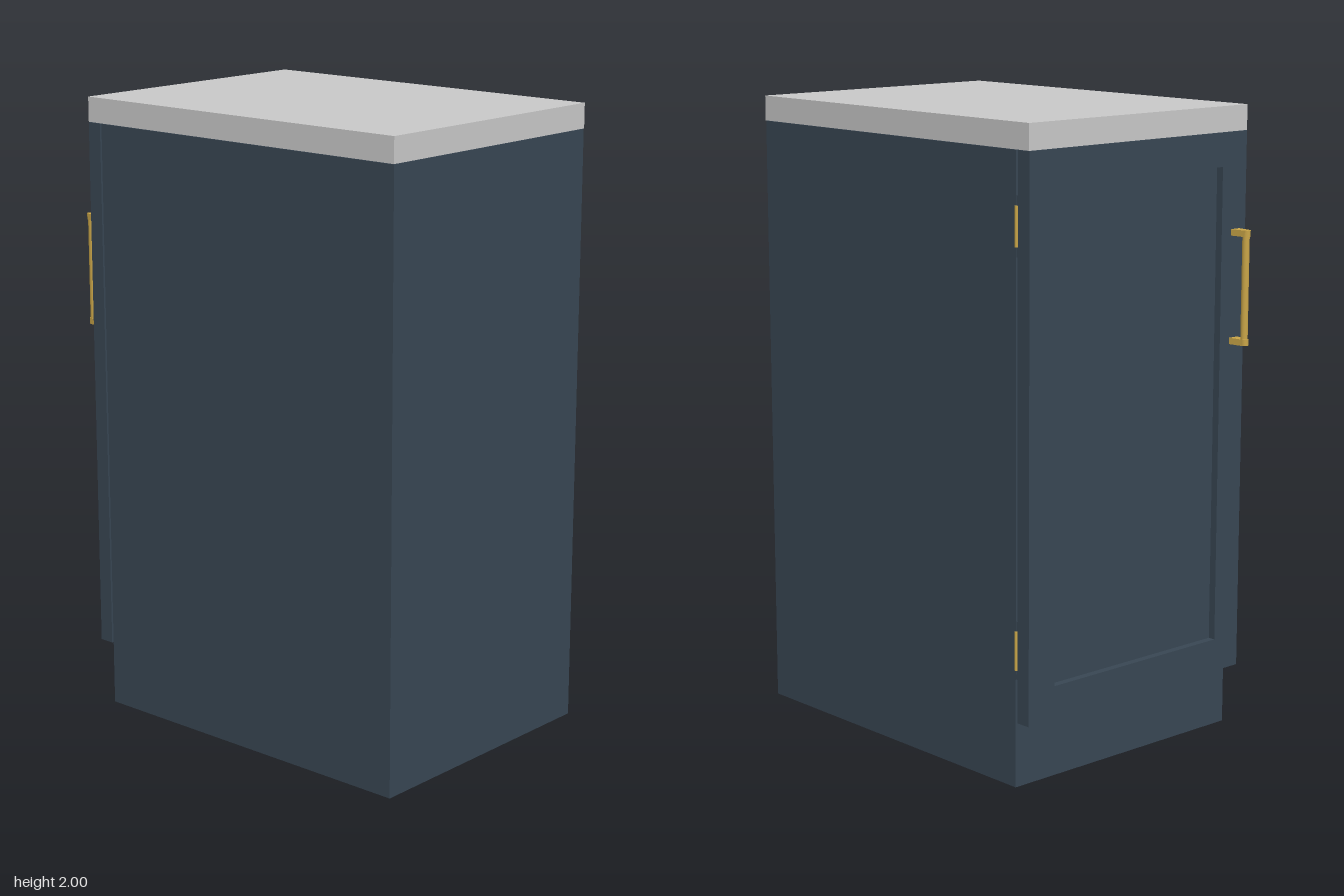
import * as THREE from 'three';

export function createModel() {
  const model = new THREE.Group();
  model.name = 'cabinet';
  const material = (name, color) => {
    const m = new THREE.MeshStandardMaterial({ color });
    m.name = name;
    return m;
  };
  const navy = material('navy paint', 0x384653);
  const stone = material('pale stone', 0xc8c8c8);
  const brass = material('brass', 0xc9a548);

  const add = (name, geometry, mat, parent = model) => {
    const mesh = new THREE.Mesh(geometry, mat);
    mesh.name = name;
    parent.add(mesh);
    return mesh;
  };
  // Box given by its limits on each axis
  const box = (name, mat, [x0, x1], [y0, y1], [z0, z1], parent) =>
    add(name, new THREE.BoxGeometry(x1 - x0, y1 - y0, z1 - z0), mat, parent)
      .position.set((x0 + x1) / 2, (y0 + y1) / 2, (z0 + z1) / 2);

  const X = [-0.457, 0.45];
  box('carcass', navy, X, [0, 1.92], [-0.535, 0.652]);
  box('worktop', stone, [-0.457, 0.452], [1.921, 2], [-0.592, 0.652]);

  // Shaker door on the -z side: frame with a recessed panel
  const door = new THREE.Group();
  door.name = 'door';
  model.add(door);
  const rect = (path, x0, x1, y0, y1) =>
    path.moveTo(x0, y0).lineTo(x1, y0).lineTo(x1, y1).lineTo(x0, y1).closePath();
  const outline = new THREE.Shape();
  rect(outline, X[0], X[1], 0.205, 1.92);
  const opening = new THREE.Path();
  const inner = { x: [-0.352, 0.345], y: [0.31, 1.815] };
  rect(opening, ...inner.x, ...inner.y);
  outline.holes.push(opening);
  add('doorFrame', new THREE.ExtrudeGeometry(outline, { depth: 0.05, bevelEnabled: false }), navy, door)
    .position.z = -0.592;
  box('doorPanel', navy, inner.x, inner.y, [-0.568, -0.542], door);

  // Hinges: leaf in the door gap and a brass knuckle on the outside
  for (const y of [0.43, 1.7]) {
    const hinge = new THREE.Group();
    hinge.name = 'hinge';
    model.add(hinge);
    box('hingeLeaf', navy, [0.36, 0.448], [y - 0.09, y + 0.09], [-0.543, -0.534], hinge);
    add('hingeKnuckle', new THREE.CylinderGeometry(0.005, 0.005, 0.12, 12), brass, hinge)
      .position.set(0.452, y, -0.5385);
  }

  // Handle: two tapered, round-nosed posts joined by an upright bar
  const handle = new THREE.Group();
  handle.name = 'handle';
  handle.position.set(-0.412, 1.44, -0.592);
  model.add(handle);
  const post = new THREE.Shape();
  post.moveTo(-0.018, 0);
  post.lineTo(0.018, 0);
  post.lineTo(0.0125, 0.048);
  post.absarc(0, 0.048, 0.0125, 0, Math.PI, false);
  post.closePath();
  const postGeometry = new THREE.ExtrudeGeometry(post, { depth: 0.02, bevelEnabled: false, curveSegments: 12 });
  postGeometry.translate(0, 0, -0.01).rotateX(-Math.PI / 2);
  for (const y of [-0.17, 0.17]) add('handlePost', postGeometry, brass, handle).position.y = y;
  add('handleBar', new THREE.CylinderGeometry(0.0115, 0.0115, 0.34, 20), brass, handle)
    .position.z = -0.046;

  return model;
}
